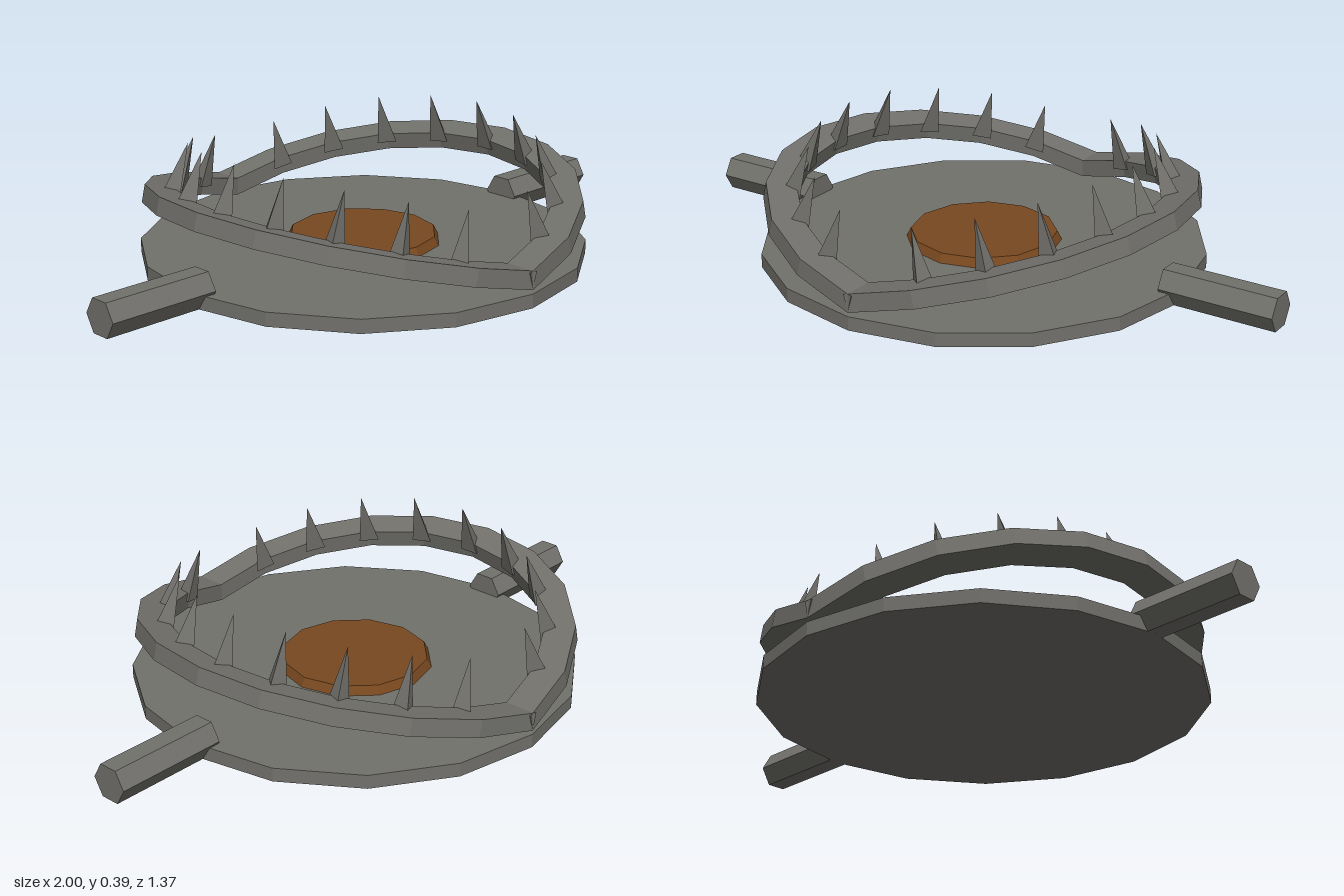
import * as THREE from 'three';

export function createModel() {
  const model = new THREE.Group();
  const steel = new THREE.MeshStandardMaterial({ color: 0x72716c, flatShading: true });
  steel.name = 'dull steel';
  const rust = new THREE.MeshStandardMaterial({ color: 0x78481f, flatShading: true });
  rust.name = 'rusty brown';

  const add = (parent, name, geometry, material = steel) => {
    const mesh = new THREE.Mesh(geometry, material);
    mesh.name = name;
    parent.add(mesh);
    return mesh;
  };

  // Base disc and trigger plate
  add(model, 'basePlate', new THREE.CylinderGeometry(0.685, 0.685, 0.043, 16).translate(0, 0.0215, 0));
  add(model, 'triggerPlate', new THREE.CylinderGeometry(0.226, 0.241, 0.03, 12).translate(0, 0.055, 0), rust);

  // Half-ring jaw outline
  const steps = 10;
  const arc = (r) => Array.from({ length: steps + 1 }, (_, i) => {
    const a = -Math.PI / 2 + (i * Math.PI) / steps;
    return new THREE.Vector2(Math.cos(a) * r, Math.sin(a) * r);
  });
  const jawShape = new THREE.Shape([...arc(0.685), ...arc(0.59).reverse()]);
  const jawGeometry = new THREE.ExtrudeGeometry(jawShape, { depth: 0.055, bevelEnabled: false });
  jawGeometry.rotateX(-Math.PI / 2);

  // Three-sided tooth with an upright inner face
  const r = 0.037, toothHeight = 0.17;
  const toothGeometry = new THREE.ConeGeometry(r, toothHeight, 3);
  toothGeometry.rotateY(Math.PI / 2).translate(r / 2, toothHeight / 2, 0);
  const p = toothGeometry.attributes.position;
  for (let i = 0; i < p.count; i++) {
    p.setX(i, p.getX(i) - (p.getY(i) / toothHeight) * (r / 2));
  }
  toothGeometry.computeVertexNormals();

  // Hexagonal side bar lying along x, flat side up
  const barGeometry = new THREE.CylinderGeometry(0.06, 0.06, 0.36, 6);
  barGeometry.rotateZ(-Math.PI / 2).translate(0.82, 0.052, 0);

  // Both sides: bar, tilted jaw and its teeth
  for (const [side, turn] of [['left', 0], ['right', Math.PI]]) {
    const half = new THREE.Group();
    half.name = side + 'Side';
    half.rotation.y = turn;
    model.add(half);
    add(half, side + 'Bar', barGeometry);

    const jaw = new THREE.Group();
    jaw.name = side + 'Jaw';
    jaw.position.y = 0.055;
    jaw.rotation.z = THREE.MathUtils.degToRad(14);
    half.add(jaw);
    add(jaw, side + 'JawRing', jawGeometry);

    for (let i = 1; i < steps; i++) {
      const a = -Math.PI / 2 + (i * Math.PI) / steps;
      const tooth = add(jaw, side + 'Tooth' + i, toothGeometry);
      tooth.position.set(Math.cos(a) * 0.577, 0.03, -Math.sin(a) * 0.577);
      tooth.rotation.y = a;
    }
  }
  return model;
}
